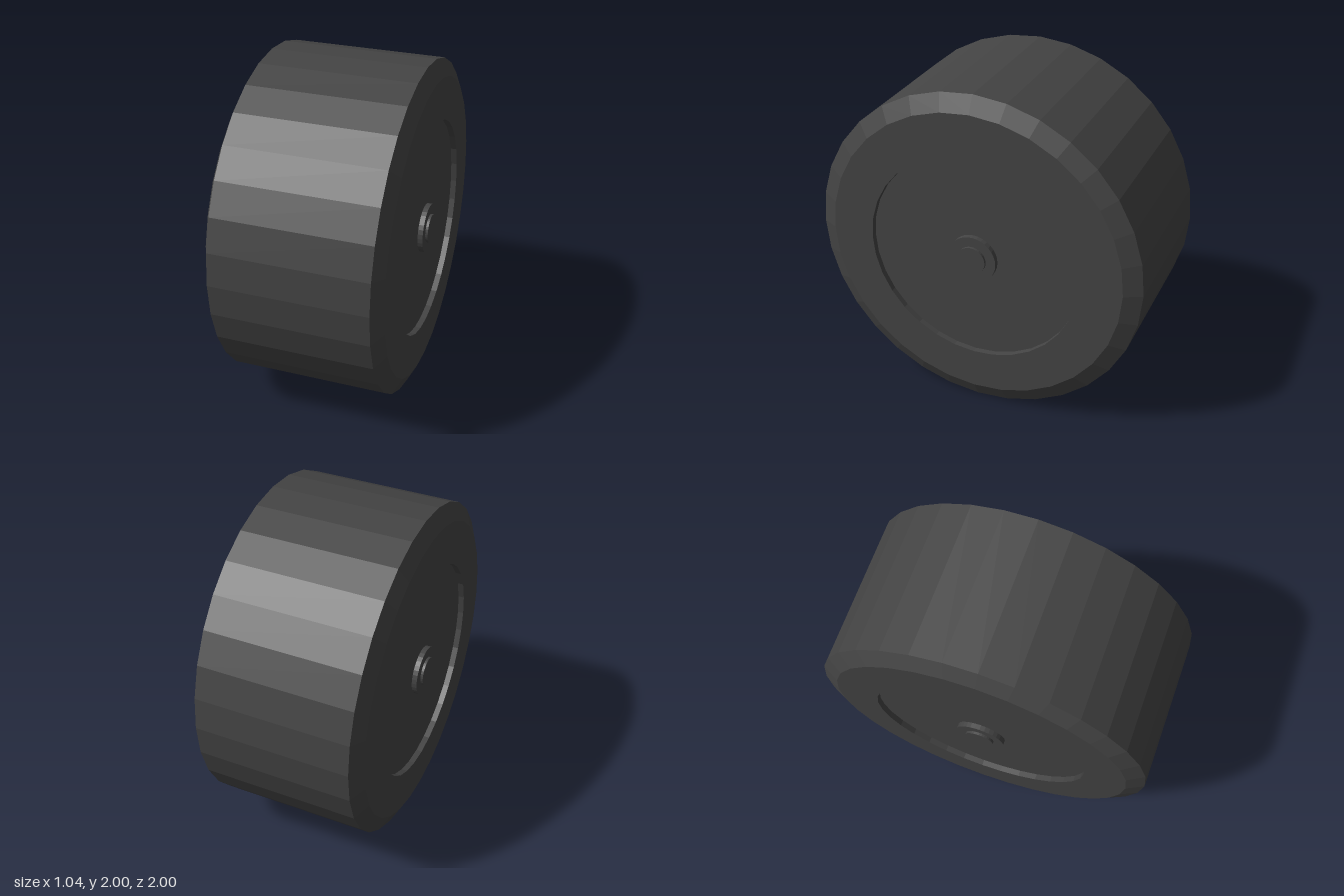
import * as THREE from 'three';

const SIDES = 32;

export function createModel() {
  const rubber = new THREE.MeshStandardMaterial({ color: 0x444444, flatShading: true });
  rubber.name = 'dark grey';

  const wheel = new THREE.Group();
  wheel.name = 'wheel';

  // Every part turns about the x axis
  const add = (name, geometry) => {
    geometry.rotateZ(-Math.PI / 2);
    const mesh = new THREE.Mesh(geometry, rubber);
    mesh.name = name;
    wheel.add(mesh);
  };

  // Tyre: bevelled tread, flat side walls and the walls of both recesses
  const half = [[1, 0.46], [0.9, 0.51], [0.645, 0.51], [0.645, 0.475]];
  const profile = [
    ...half.map(([r, x]) => [r, -x]).reverse(),
    ...half,
  ].map(([r, x]) => new THREE.Vector2(r, x));
  add('tyre', new THREE.LatheGeometry(profile, SIDES));

  // Recessed disc, hub and axle run through, so both sides match
  const through = (name, radius, halfLength) =>
    add(name, new THREE.CylinderGeometry(radius, radius, halfLength * 2, SIDES));
  through('wheelDisc', 0.645, 0.475);
  through('hub', 0.145, 0.505);
  through('axle', 0.085, 0.52);

  wheel.position.y = 1;
  const model = new THREE.Group();
  model.name = 'wheelModel';
  model.add(wheel);
  return model;
}
